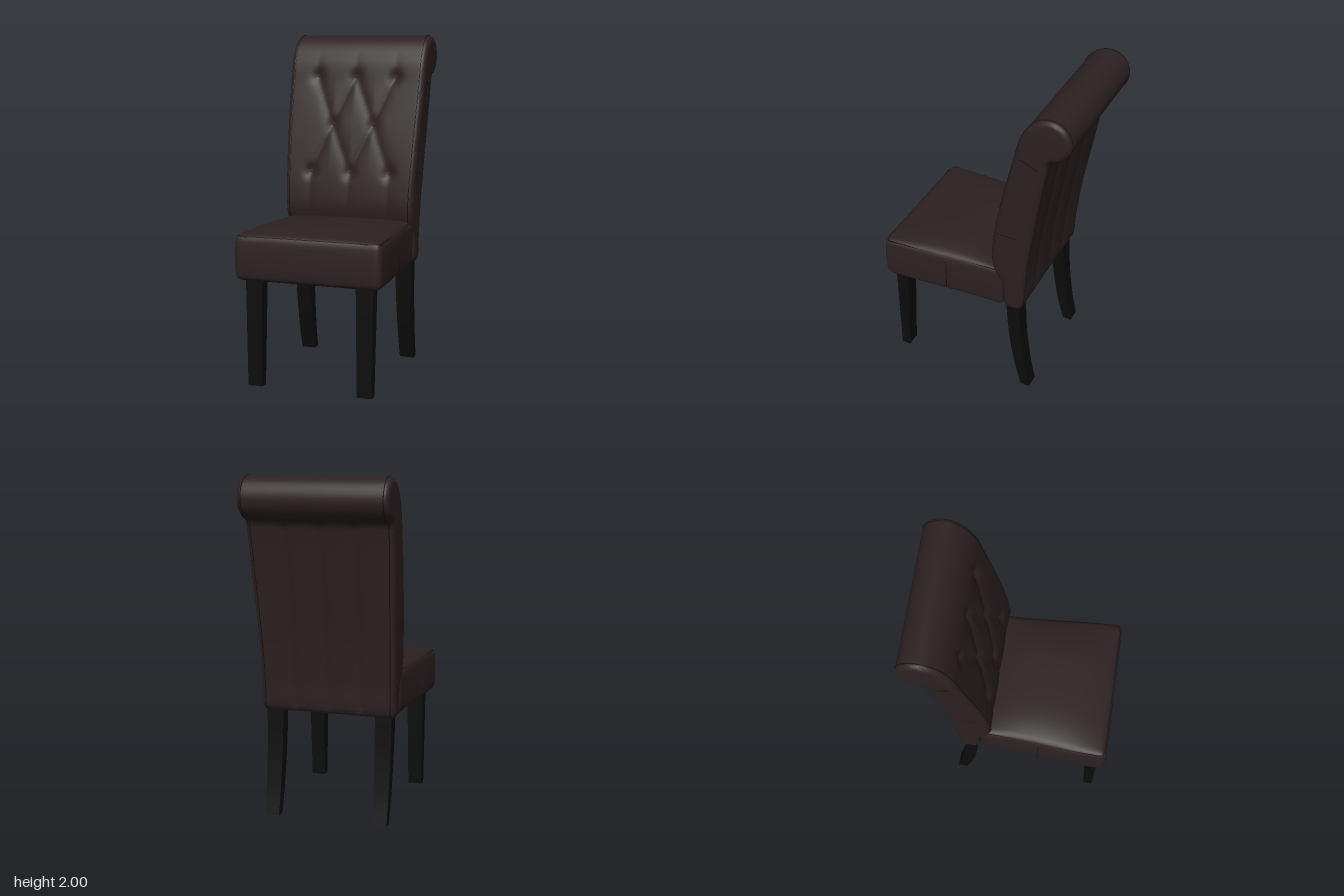
import * as THREE from 'three';
import { mergeVertices, toCreasedNormals } from 'three/addons/utils/BufferGeometryUtils.js';

const V2 = (x, y) => new THREE.Vector2(x, y);
const V3 = (x, y, z) => new THREE.Vector3(x, y, z);
const { smoothstep, clamp, lerp } = THREE.MathUtils;

const mat = (name, color) => {
  const m = new THREE.MeshStandardMaterial({ color });
  m.name = name;
  return m;
};

// Side outline of the backrest with its rolled top, as [z, y]
const BACK = [
  [-0.195, 0.66], [-0.185, 0.8], [-0.14, 0.87], [-0.12, 0.95], [-0.13, 1.1], [-0.165, 1.3],
  [-0.215, 1.52], [-0.26, 1.7], [-0.3, 1.85], [-0.36, 1.95], [-0.43, 1.995], [-0.5, 1.997],
  [-0.56, 1.96], [-0.59, 1.885], [-0.573, 1.815], [-0.525, 1.767], [-0.472, 1.745],
  [-0.455, 1.68], [-0.4, 1.36], [-0.35, 1.05], [-0.325, 0.82], [-0.31, 0.65], [-0.295, 0.632], [-0.21, 0.632],
];
const widthAt = y => lerp(0.93, 1, smoothstep(y, 0.7, 1.9));

// Button positions and the folds that join them
const BUTTONS = [[-0.25, 1.75], [0, 1.75], [0.25, 1.75], [-0.13, 1.46], [0.13, 1.46], [-0.25, 1.17], [0, 1.17], [0.25, 1.17]];
const fold = (a, b, strength) => ({ line: new THREE.Line3(V3(...a, 0), V3(...b, 0)), strength });
const FOLDS = [];
for (const [x, y] of BUTTONS) {
  if (y === 1.46) {
    for (const s of [-1, 1]) for (const by of [1.17, 1.75]) {
      FOLDS.push(fold([x, y], [x + s * (s * x > 0 ? 0.12 : 0.13), by], 1));
    }
  } else {
    FOLDS.push(fold([x, y], [x, y > 1.5 ? 1.9 : 0.9], 0.45));
  }
}

function tuftDepth(x, y) {
  const p = V3(x, y, 0), q = V3(0, 0, 0);
  let depth = 0;
  for (const { line, strength } of FOLDS) {
    line.closestPointToPoint(p, true, q);
    depth = Math.max(depth, strength * 0.014 * Math.exp(-q.distanceTo(p) / 0.035));
  }
  for (const [bx, by] of BUTTONS) {
    depth += 0.016 * Math.exp(-((x - bx) ** 2 + (y - by) ** 2) / 0.0012);
  }
  return depth * (1 - smoothstep(y, 1.78, 1.92)) * (1 - smoothstep(Math.abs(x), 0.34, 0.4));
}

function backGeometry(outline) {
  const shape = new THREE.Shape(outline.map(p => V2(-p.z, p.y)));
  const geo = new THREE.ExtrudeGeometry(shape, {
    depth: 0.81, steps: 64, bevelThickness: 0.03, bevelSize: 0.035, bevelOffset: -0.035, bevelSegments: 5,
  });
  geo.translate(0, 0, -0.405).rotateY(Math.PI / 2);
  const pos = geo.attributes.position;
  for (let i = 0; i < pos.count; i++) {
    const y = pos.getY(i), x = pos.getX(i) * widthAt(y);
    let z = pos.getZ(i);
    const middle = -0.24 - 0.18 * Math.max(0, y - 1);
    if (z > middle) {
      z -= tuftDepth(x, y);
    } else if (y < 1.72 && y > 0.66) {
      // Upright channels down the rear
      for (const gx of [-0.2, 0, 0.2]) z += 0.008 * Math.exp(-Math.abs(x - gx) / 0.03);
    }
    pos.setXYZ(i, x, y, z);
  }
  return toCreasedNormals(geo, 0.8);
}

// Half width of the seat: flared towards the front
const seatHalf = z => 0.402 + 0.036 * smoothstep(z, -0.1, 0.52);

function seatGeometry() {
  const geo = new THREE.BoxGeometry(2, 2, 2, 32, 16, 32);
  geo.deleteAttribute('uv');
  geo.deleteAttribute('normal');
  const half = V3(0.42, 0.1325, 0.3875), r = 0.035;
  const inner = half.clone().subScalar(r), p = V3(0, 0, 0);
  const pos = geo.attributes.position;
  for (let i = 0; i < pos.count; i++) {
    p.fromBufferAttribute(pos, i);
    for (const a of ['x', 'y', 'z']) p[a] = Math.sin(p[a] * Math.PI / 2) * half[a];
    const core = p.clone().clamp(inner.clone().negate(), inner);
    p.sub(core).setLength(r).add(core);
    const u = p.x / half.x, v = p.z / half.z, h = p.y / half.y;
    const z = p.z + 0.1975 - 0.008 * (1 - h * h < 0 ? 0 : h * h) * (v > 0 ? v : 0);
    const crown = h > 0 ? h * 0.047 * (1 - u ** 4) * Math.max(0, 1 - v * v) : 0;
    const x = u * (seatHalf(z) - 0.006 * h * h);
    pos.setXYZ(i, x, p.y + 0.7525 + crown, z);
  }
  const merged = mergeVertices(geo);
  merged.computeVertexNormals();
  return merged;
}

// Leg cut from a side outline [z, y], slightly tapered in width
function legGeometry(front, rear) {
  const smooth = pts => new THREE.SplineCurve(pts.map(([z, y]) => V2(-z, y))).getPoints(10);
  const shape = new THREE.Shape([...smooth(front), ...smooth(rear).reverse()]);
  const geo = new THREE.ExtrudeGeometry(shape, { depth: 0.1, bevelEnabled: false });
  geo.translate(0, 0, -0.05).rotateY(Math.PI / 2);
  const pos = geo.attributes.position;
  for (let i = 0; i < pos.count; i++) pos.setX(i, pos.getX(i) * lerp(0.86, 1, clamp(pos.getY(i) / 0.62, 0, 1)));
  return toCreasedNormals(geo, 0.5);
}

export function createModel() {
  const leather = mat('dark brown leather', 0x2c2122);
  const wood = mat('black wood', 0x0c0c0c);
  const seam = mat('seam', 0x171111);
  const lining = mat('olive lining', 0x3a301c);
  const model = new THREE.Group();
  model.name = 'chair';
  const add = (name, geo, material, x = 0, y = 0, z = 0) => {
    const m = new THREE.Mesh(geo, material);
    m.name = name;
    m.position.set(x, y, z);
    model.add(m);
    return m;
  };

  // Upholstery
  const outline = new THREE.CatmullRomCurve3(BACK.map(([z, y]) => V3(0, y, z)), true);
  const points = outline.getSpacedPoints(130).slice(0, -1);
  add('backrest', backGeometry(points), leather);
  add('seat', seatGeometry(), leather);
  const button = new THREE.SphereGeometry(0.01, 10, 8);
  for (const [x, y] of BUTTONS) {
    // Seat each button in its dimple on the front outline
    const k = BACK.findIndex((p, i) => i > 2 && p[1] >= y);
    const [z0, y0] = BACK[k - 1], [z1, y1] = BACK[k];
    add('tuftButton', button, leather, x, y, lerp(z0, z1, (y - y0) / (y1 - y0)) - 0.03);
  }

  // Piping around the backrest sides and the seat top
  for (const s of [-1, 1]) {
    const path = points.map(p => V3(s * 0.405 * widthAt(p.y), p.y, p.z));
    add('backPiping', new THREE.TubeGeometry(new THREE.CatmullRomCurve3(path, true), 200, 0.003, 5, true), seam);
  }
  const rim = [];
  for (const s of [1, -1]) {
    for (let i = 0; i <= 12; i++) {
      const z = s * lerp(-0.355, 0.355, i / 12) + 0.1975;
      rim.push(V3(s * (seatHalf(z) - 0.017), 0.875, z));
    }
    for (let i = 0; i <= 8; i++) {
      const z = s > 0 ? 0.567 : -0.178;
      rim.push(V3(s * lerp(0.385, -0.385, i / 8), 0.875, z));
    }
  }
  add('seatPiping', new THREE.TubeGeometry(new THREE.CatmullRomCurve3(rim, true), 200, 0.004, 5, true), seam);

  // Stitched joins on the sides
  for (const s of [-1, 1]) {
    add('seatSideSeam', new THREE.BoxGeometry(0.006, 0.19, 0.004), seam, s * (seatHalf(0.17) - 0.001), 0.75, 0.17);
    for (const [y, z] of [[1.175, -0.235], [1.71, -0.36]]) {
      const m = add('backSideSeam', new THREE.BoxGeometry(0.006, 0.004, 0.11), seam, s * 0.434 * widthAt(y), y, z);
      m.rotation.x = y > 1.5 ? -0.4 : 0;
    }
  }

  // Lining under the seat
  add('underLining', new THREE.BoxGeometry(0.68, 0.006, 0.64), lining, 0, 0.618, 0.19);

  // Legs
  const frontLeg = legGeometry([[0.54, 0], [0.54, 0.64]], [[0.485, 0], [0.46, 0.64]]);
  const backLeg = legGeometry(
    [[-0.305, 0], [-0.262, 0.17], [-0.225, 0.4], [-0.207, 0.65]],
    [[-0.362, 0], [-0.328, 0.17], [-0.3, 0.4], [-0.288, 0.65]]);
  for (const s of [-1, 1]) {
    add('frontLeg', frontLeg, wood, s * 0.33);
    add('backLeg', backLeg, wood, s * 0.33);
  }
  return model;
}
